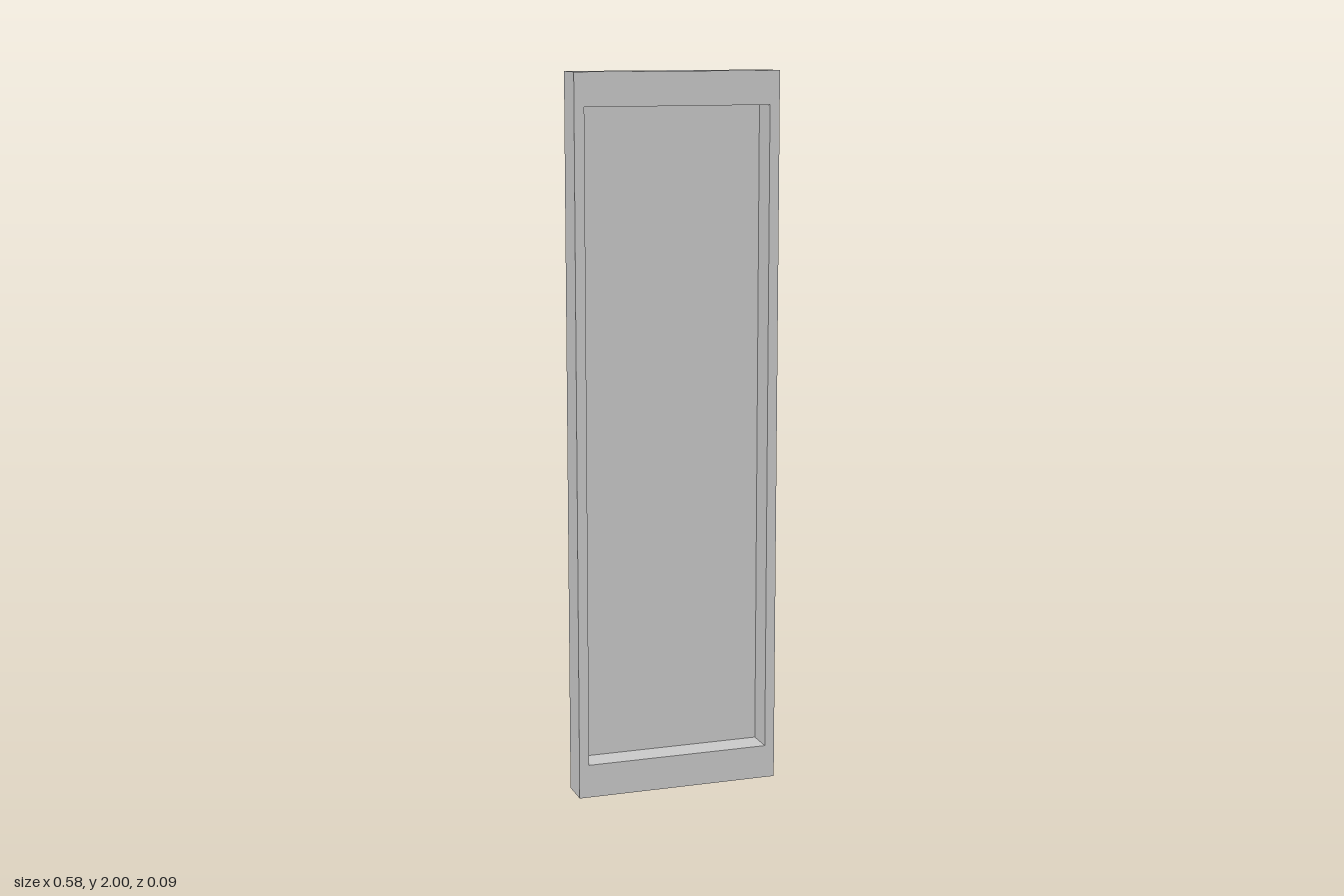
import * as THREE from 'three';

const HALF_DEPTH = 0.046;
const RECESS_DEPTH = 0.08;

// Rectangular loop of corners, counter-clockwise seen from the front
const loop = (halfWidth, bottom, top, z) => [
  [-halfWidth, bottom, z],
  [halfWidth, bottom, z],
  [halfWidth, top, z],
  [-halfWidth, top, z],
];

// Four flat faces joining one rectangular loop to the next
function band(a, b) {
  const points = [];
  for (let i = 0; i < 4; i++) {
    const j = (i + 1) % 4;
    points.push(a[i], a[j], b[j], a[i], b[j], b[i]);
  }
  const geometry = new THREE.BufferGeometry();
  geometry.setAttribute('position', new THREE.Float32BufferAttribute(points.flat(), 3));
  geometry.computeVertexNormals();
  return geometry;
}

export function createModel() {
  const group = new THREE.Group();
  group.name = 'recessedPanel';
  const material = new THREE.MeshStandardMaterial({ color: 0xcccccc, side: THREE.DoubleSide });

  const add = (name, geometry) => {
    const mesh = new THREE.Mesh(geometry, material);
    mesh.name = name;
    group.add(mesh);
    return mesh;
  };

  const halfWidth = 0.262, bottom = 0.094, top = 1.908;
  const panelZ = HALF_DEPTH - RECESS_DEPTH;
  const outerBack = loop(0.29, 0, 2, -HALF_DEPTH);
  const outerFront = loop(0.29, 0, 2, HALF_DEPTH);
  const recessFront = loop(halfWidth, bottom, top, HALF_DEPTH);
  const recessBack = loop(halfWidth, bottom, top, panelZ);

  // Thin pressed shell, open at the back
  add('outerSides', band(outerBack, outerFront));
  add('frontFrame', band(outerFront, recessFront));
  add('recessWalls', band(recessFront, recessBack));

  // Flat floor of the recess
  const panel = add('recessPanel', new THREE.PlaneGeometry(2 * halfWidth, top - bottom));
  panel.position.set(0, (top + bottom) / 2, panelZ);

  return group;
}
